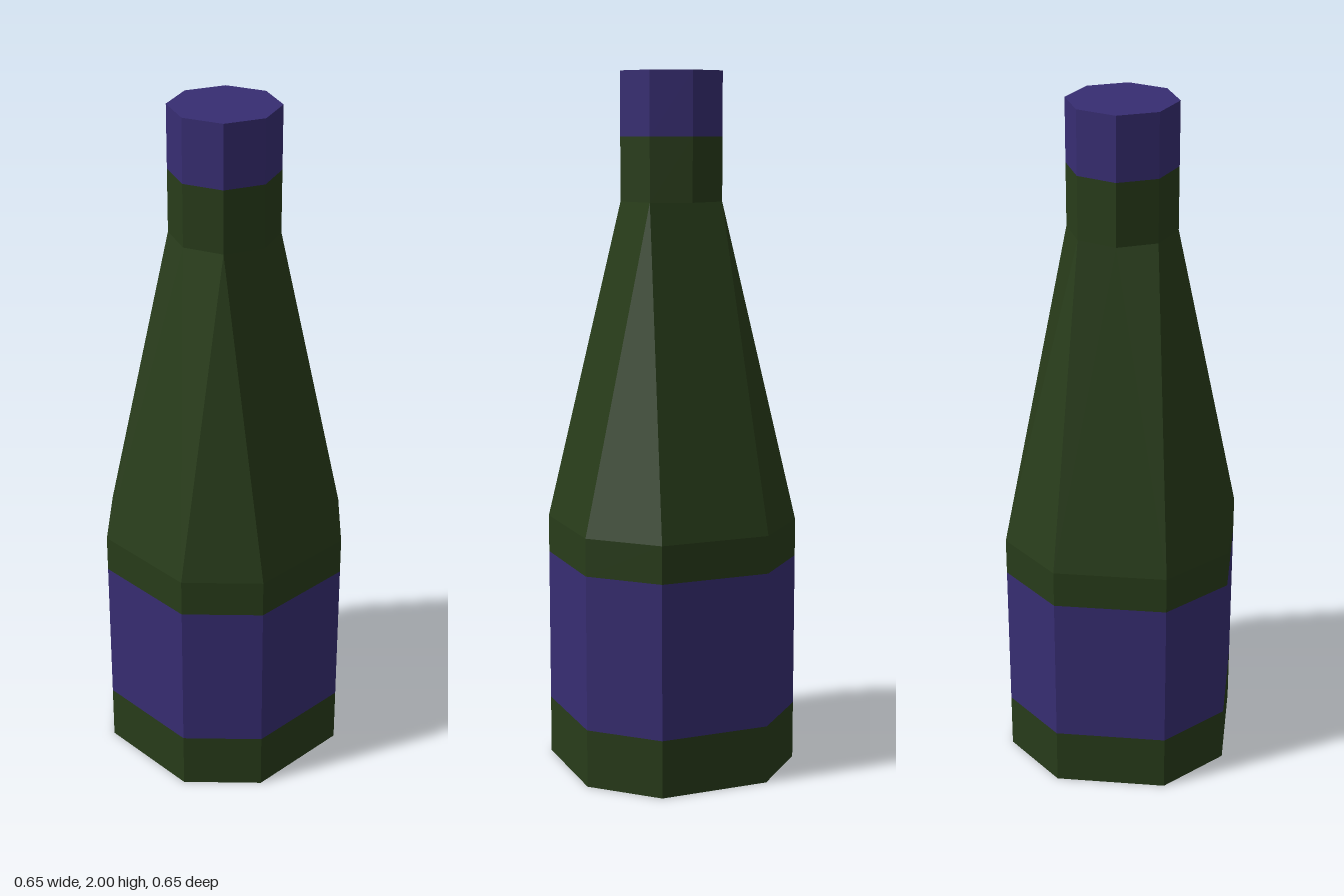
import * as THREE from 'three';

const GLASS = 0x283c1a, LABEL = 0x372d72;

// Ring of eight corners, counter-clockwise from above.
const bodyRing = (y) => {
  const a = 0.16, b = 0.323;
  return [[-a, b], [a, b], [b, a], [b, -a], [a, -b], [-a, -b], [-b, -a], [-b, a]]
    .map(([x, z]) => new THREE.Vector3(x, y, z));
};
const neckRing = (y) => Array.from({ length: 8 }, (_, i) =>
  new THREE.Vector3(0.154 * Math.sin(i * Math.PI / 4), y, 0.154 * Math.cos(i * Math.PI / 4)));

// Panels running around between two matching rings.
const band = (low, high) => low.map((p, i) => {
  const j = (i + 1) % low.length;
  return [p, low[j], high[j], high[i]];
});

// Each panel is a fan of triangles sharing one normal.
function part(name, color, panels) {
  const positions = [], normals = [];
  for (const panel of panels) {
    const normal = new THREE.Vector3();
    panel.forEach((p, i) => normal.add(p.clone().cross(panel[(i + 1) % panel.length])));
    normal.normalize();
    for (let i = 1; i < panel.length - 1; i++) {
      for (const p of [panel[0], panel[i], panel[i + 1]]) {
        positions.push(p.x, p.y, p.z);
        normals.push(normal.x, normal.y, normal.z);
      }
    }
  }
  const geometry = new THREE.BufferGeometry();
  geometry.setAttribute('position', new THREE.Float32BufferAttribute(positions, 3));
  geometry.setAttribute('normal', new THREE.Float32BufferAttribute(normals, 3));
  const mesh = new THREE.Mesh(geometry, new THREE.MeshStandardMaterial({ color }));
  mesh.name = name;
  return mesh;
}

export function createModel() {
  const bottle = new THREE.Group();
  bottle.name = 'bottle';

  // Straight body with a label band
  const [floor, labelLow, labelHigh, bodyTop] = [0, 0.167, 0.614, 0.722].map(bodyRing);
  bottle.add(part('base', GLASS, [[...floor].reverse(), ...band(floor, labelLow)]));
  bottle.add(part('label', LABEL, band(labelLow, labelHigh)));
  bottle.add(part('upperBody', GLASS, band(labelHigh, bodyTop)));

  // Shoulder: four wide panels to three neck corners, and four corner triangles
  const [neckLow, capLow, capTop] = [1.64, 1.82, 2].map(neckRing);
  const shoulder = [];
  for (let s = 0; s < 8; s += 2) {
    const left = neckLow[(s + 7) % 8], middle = neckLow[s], right = neckLow[s + 1];
    shoulder.push([middle, left, bodyTop[s], bodyTop[s + 1], right]);
    shoulder.push([right, bodyTop[s + 1], bodyTop[(s + 2) % 8]]);
  }
  bottle.add(part('shoulder', GLASS, shoulder));

  // Neck and foil cap
  bottle.add(part('neck', GLASS, band(neckLow, capLow)));
  bottle.add(part('cap', LABEL, [...band(capLow, capTop), capTop]));
  return bottle;
}
